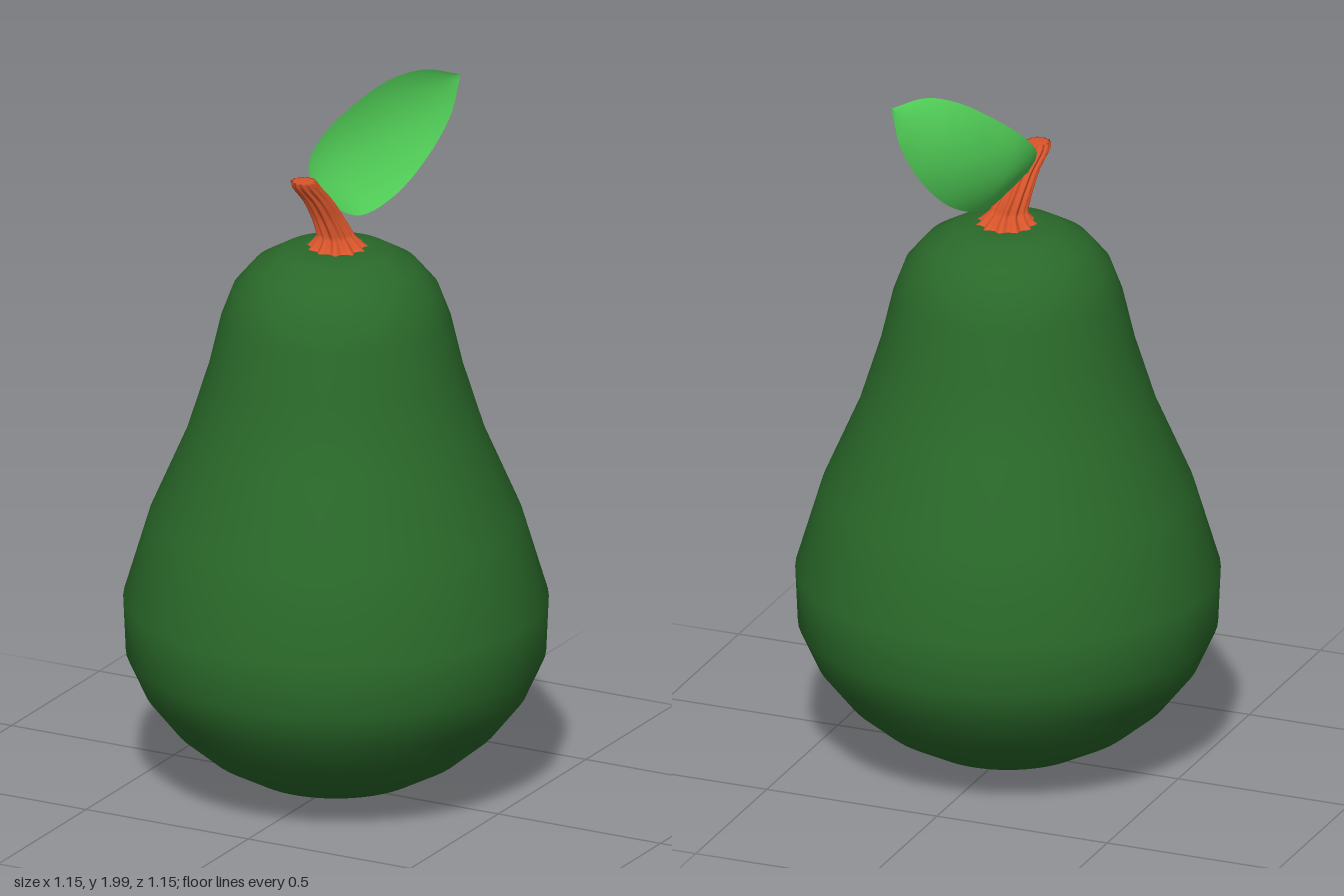
import * as THREE from 'three';
import { ParametricGeometry } from 'three/addons/geometries/ParametricGeometry.js';

const spline = (pts) => new THREE.CatmullRomCurve3(pts.map((p) => new THREE.Vector3(...p)));

function part(name, geometry, color, side = THREE.FrontSide) {
  const mesh = new THREE.Mesh(geometry, new THREE.MeshStandardMaterial({ color, side }));
  mesh.name = name;
  return mesh;
}

// Pear-shaped body: a smooth lathe with a small dimple under the stem
function bodyGeometry() {
  const profile = [
    [0, 0.005], [0.12, 0.015], [0.24, 0.05], [0.35, 0.11], [0.44, 0.185], [0.52, 0.285],
    [0.57, 0.395], [0.577, 0.55], [0.505, 0.79], [0.405, 1.02], [0.345, 1.21], [0.312, 1.35],
    [0.28, 1.435], [0.225, 1.5], [0.15, 1.543], [0.08, 1.555], [0, 1.54],
  ].map(([r, y]) => new THREE.Vector2(r, y));
  return new THREE.LatheGeometry(profile, 64);
}

// Fluted stem: star-shaped rings swept along a leaning centre line, flared at the foot
function stemGeometry() {
  const rings = [
    // x, y, z, radius
    [0.005, 1.545, 0, 0.088], [0.003, 1.558, 0, 0.07], [0, 1.585, 0.003, 0.048],
    [-0.015, 1.64, 0.02, 0.041], [-0.03, 1.7, 0.052, 0.037], [-0.046, 1.748, 0.088, 0.036],
    [-0.048, 1.763, 0.096, 0.034], [-0.049, 1.765, 0.097, 0.001],
  ];
  const centre = spline(rings.map(([x, y, z]) => [x, y, z]));
  const radius = (v) => {
    const f = v * (rings.length - 1);
    const i = Math.min(Math.floor(f), rings.length - 2);
    return THREE.MathUtils.lerp(rings[i][3], rings[i + 1][3], f - i);
  };
  return new ParametricGeometry((u, v, target) => {
    const a = u * Math.PI * 2;
    const flute = 1 + 0.13 * Math.cos(a * 11) * (1 - 0.6 * v);
    const r = radius(v) * flute;
    centre.getPoint(v, target);
    target.x += r * Math.cos(a);
    target.z -= r * Math.sin(a);
  }, 88, 28);
}

// Leaf: a thin cupped sheet stretched between its upper and lower edges
function leafGeometry() {
  const upper = spline([
    [-0.05, 1.7, 0.02], [-0.085, 1.77, 0.0], [-0.075, 1.84, -0.065], [-0.01, 1.925, -0.155],
    [0.06, 1.98, -0.22], [0.13, 2.0, -0.27], [0.205, 1.98, -0.33],
  ]);
  const lower = spline([
    [-0.03, 1.69, 0.017], [-0.005, 1.65, -0.025], [0.03, 1.62, -0.09], [0.08, 1.655, -0.19],
    [0.13, 1.74, -0.27], [0.18, 1.86, -0.32], [0.205, 1.98, -0.33],
  ]);
  const edge = new THREE.Vector3();
  return new ParametricGeometry((u, v, target) => {
    lower.getPoint(v, target);
    target.lerp(upper.getPoint(v, edge), u);
    const cup = 0.08 * u * (1 - u) * Math.sin(Math.PI * v);
    target.x -= cup;
    target.z -= cup;
  }, 12, 28);
}

export function createModel() {
  const model = new THREE.Group();
  model.name = 'pear';
  model.add(
    part('body', bodyGeometry(), 0x2a692a),
    part('stem', stemGeometry(), 0xd9552b),
    part('leaf', leafGeometry(), 0x52d058, THREE.DoubleSide),
  );
  return model;
}
